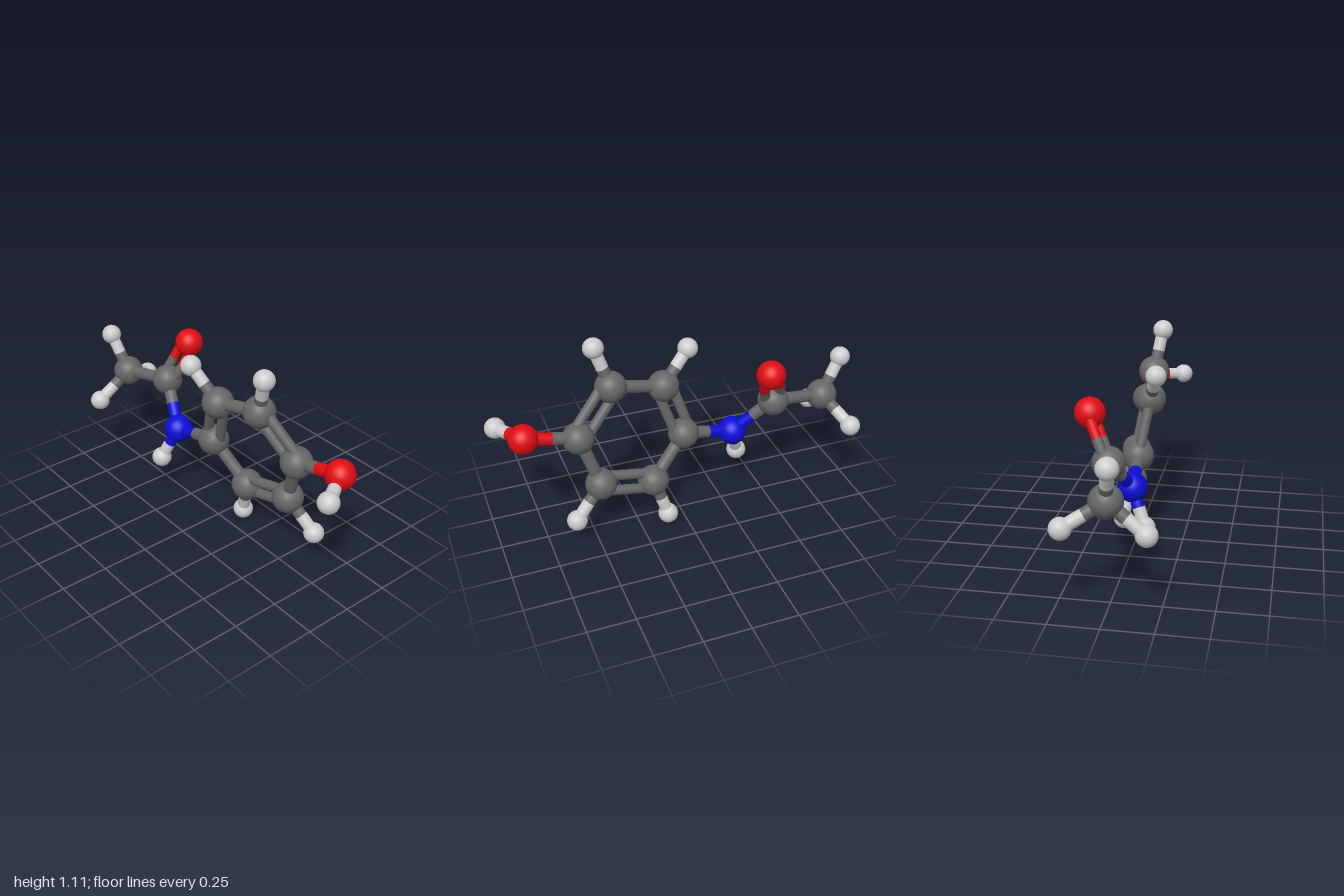
import * as THREE from 'three';

const ELEMENTS = {
  C: { name: 'carbon', radius: 0.083, color: 0x666666 },
  H: { name: 'hydrogen', radius: 0.054, color: 0xcccccc },
  O: { name: 'oxygen', radius: 0.076, color: 0xe00c14 },
  N: { name: 'nitrogen', radius: 0.077, color: 0x0d0dd8 },
};

// Atoms: element and position
const ATOMS = {
  methyl: ['C', -0.835, 0.56, 0],
  methylH1: ['H', -0.947, 0.76, 0.03],
  methylH2: ['H', -0.922, 0.45, -0.193],
  methylH3: ['H', -0.86, 0.417, 0.19],
  carbonyl: ['C', -0.516, 0.62, -0.05],
  carbonylO: ['O', -0.446, 0.845, -0.153],
  amide: ['N', -0.318, 0.422, 0.03],
  amideH: ['H', -0.379, 0.234, 0.104],
  ring1: ['C', -0.027, 0.485, 0.01],
  ring2: ['C', 0.067, 0.77, 0.058],
  ring3: ['C', 0.357, 0.84, 0.033],
  ring4: ['C', 0.558, 0.62, -0.038],
  ring5: ['C', 0.463, 0.34, -0.082],
  ring6: ['C', 0.169, 0.272, -0.06],
  ringH2: ['H', -0.087, 0.937, 0.11],
  ringH3: ['H', 0.427, 1.056, 0.07],
  ringH5: ['H', 0.614, 0.177, -0.132],
  ringH6: ['H', 0.1, 0.057, -0.095],
  hydroxylO: ['O', 0.838, 0.69, -0.053],
  hydroxylH: ['H', 0.943, 0.67, 0.125],
};

const SINGLE_BONDS = [
  ['methyl', 'methylH1'], ['methyl', 'methylH2'], ['methyl', 'methylH3'],
  ['methyl', 'carbonyl'], ['carbonyl', 'amide'], ['amide', 'amideH'], ['amide', 'ring1'],
  ['ring2', 'ring3'], ['ring4', 'ring5'], ['ring6', 'ring1'],
  ['ring2', 'ringH2'], ['ring3', 'ringH3'], ['ring5', 'ringH5'], ['ring6', 'ringH6'],
  ['ring4', 'hydroxylO'], ['hydroxylO', 'hydroxylH'],
];

// Double bonds: the third atom fixes the plane the two rods lie in
const DOUBLE_BONDS = [
  ['ring1', 'ring2', 'ring4'], ['ring3', 'ring4', 'ring6'], ['ring5', 'ring6', 'ring2'],
  ['carbonyl', 'carbonylO', 'amide'],
];

export function createModel() {
  const model = new THREE.Group();
  model.name = 'molecule';
  const up = new THREE.Vector3(0, 1, 0);
  const position = (key) => new THREE.Vector3(...ATOMS[key].slice(1));
  const materials = {};
  for (const [symbol, { color }] of Object.entries(ELEMENTS)) {
    materials[symbol] = new THREE.MeshStandardMaterial({ color });
  }

  // Atom spheres
  for (const [key, [symbol]] of Object.entries(ATOMS)) {
    const { name, radius } = ELEMENTS[symbol];
    const atom = new THREE.Mesh(new THREE.SphereGeometry(radius, 40, 24), materials[symbol]);
    atom.name = `${name} atom ${key}`;
    atom.position.copy(position(key));
    model.add(atom);
  }

  // One rod, each half in the colour of the atom it touches
  function addRod(a, b, radius, offset) {
    const middle = position(a).lerp(position(b), 0.5);
    for (const key of [a, b]) {
      const end = position(key);
      const direction = middle.clone().sub(end);
      const half = new THREE.Mesh(
        new THREE.CylinderGeometry(radius, radius, direction.length(), 24, 1, true),
        materials[ATOMS[key][0]],
      );
      half.name = `bond ${a} to ${b}`;
      half.position.copy(end).lerp(middle, 0.5).add(offset);
      half.quaternion.setFromUnitVectors(up, direction.normalize());
      model.add(half);
    }
  }

  for (const [a, b] of SINGLE_BONDS) addRod(a, b, 0.033, new THREE.Vector3());

  for (const [a, b, guide] of DOUBLE_BONDS) {
    const axis = position(b).sub(position(a)).normalize();
    const side = position(guide).sub(position(a));
    side.addScaledVector(axis, -side.dot(axis)).normalize();
    for (const sign of [-1, 1]) addRod(a, b, 0.027, side.clone().multiplyScalar(sign * 0.042));
  }

  return model;
}
